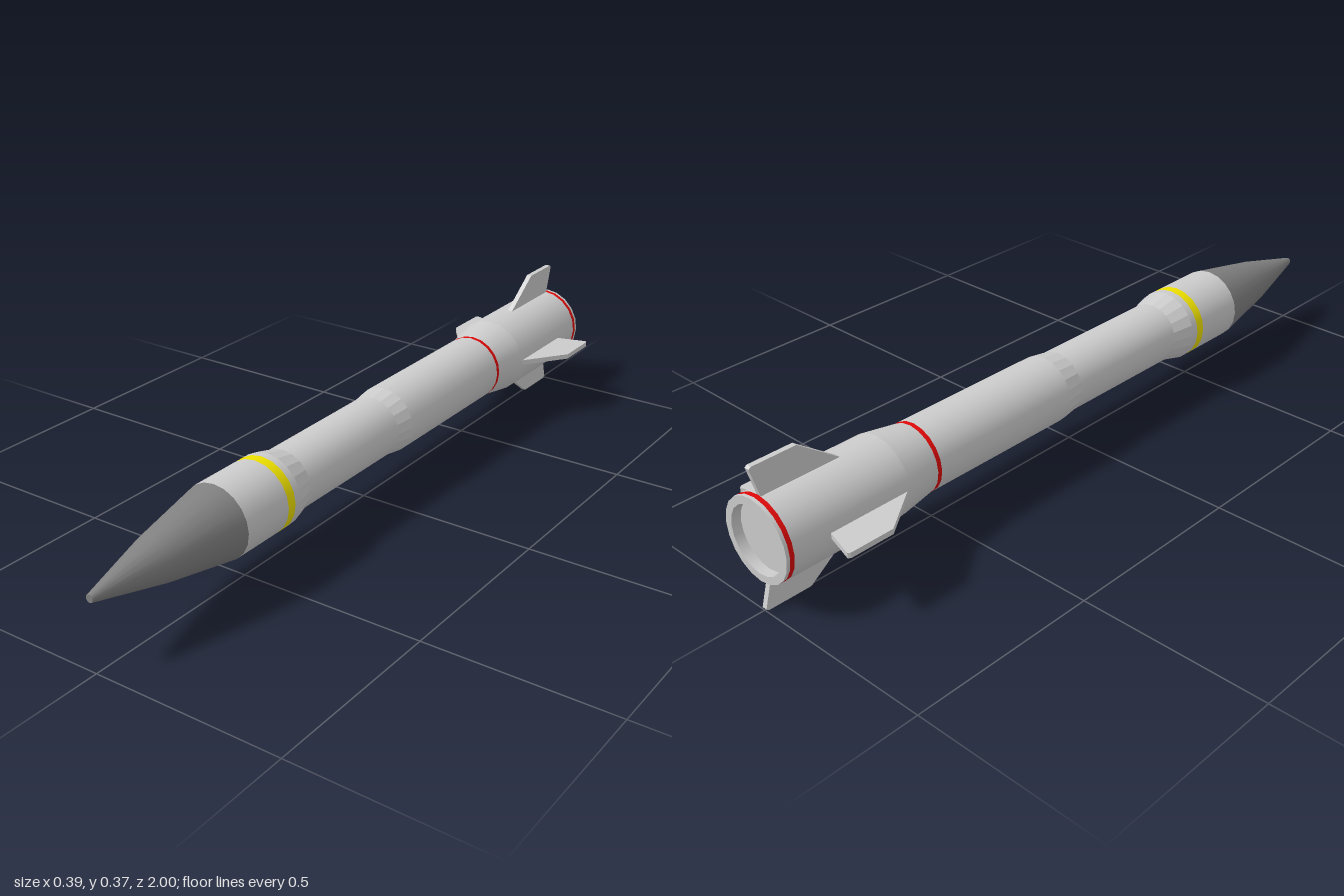
import * as THREE from 'three';

const SIDES = 20;
const AXIS_Y = 0.187;

const grey = new THREE.MeshStandardMaterial({ color: 0xcccccc });
const greyFlat = new THREE.MeshStandardMaterial({ color: 0xcccccc, flatShading: true });
const dark = new THREE.MeshStandardMaterial({ color: 0x808080 });
const yellow = new THREE.MeshStandardMaterial({ color: 0xeee000 });
const red = new THREE.MeshStandardMaterial({ color: 0xe00808 });

// Turned section along z; profile is [radius, z] from back to front
function section(name, material, ...profile) {
  const points = profile.map(([r, z]) => new THREE.Vector2(r, z));
  const geometry = new THREE.LatheGeometry(points, SIDES).rotateX(Math.PI / 2);
  const mesh = new THREE.Mesh(geometry, material);
  mesh.name = name;
  return mesh;
}

// Swept fin pointing along +x, root buried in the body
function finGeometry() {
  const outline = [[0.09, -0.637], [0.193, -0.778], [0.193, -0.897], [0.188, -0.903], [0.107, -0.88], [0.09, -0.875]];
  const shape = new THREE.Shape(outline.map(([r, z]) => new THREE.Vector2(r, z)));
  return new THREE.ExtrudeGeometry(shape, { depth: 0.014, bevelEnabled: false })
    .translate(0, 0, -0.007)
    .rotateX(Math.PI / 2);
}

export function createModel() {
  const model = new THREE.Group();
  model.name = 'missile';
  const body = new THREE.Group();
  body.name = 'body';
  body.position.y = AXIS_Y;
  model.add(body);

  body.add(
    // Recessed tail end
    section('exhaustDisc', grey, [0, -0.975], [0.087, -0.975]),
    section('exhaustWall', grey, [0.087, -0.975], [0.087, -1]),
    section('tailRim', grey, [0.087, -1], [0.107, -1]),
    // Tail and flare
    section('tailEdge', grey, [0.107, -1], [0.107, -0.991]),
    section('tailBand', red, [0.107, -0.991], [0.107, -0.979]),
    section('tailTube', grey, [0.107, -0.979], [0.107, -0.65]),
    section('tailFlare', grey, [0.107, -0.65], [0.091, -0.55]),
    section('motorBand', red, [0.091, -0.55], [0.091, -0.538]),
    // Slim middle
    section('motorTube', grey, [0.091, -0.538], [0.091, -0.095]),
    section('middleTaper', greyFlat, [0.091, -0.095], [0.083, -0.04]),
    section('middleTube', grey, [0.083, -0.04], [0.083, 0.34]),
    // Wider front
    section('frontTaper', greyFlat, [0.083, 0.34], [0.098, 0.4]),
    section('frontTubeBack', grey, [0.098, 0.4], [0.098, 0.421]),
    section('frontBand', yellow, [0.098, 0.421], [0.098, 0.447]),
    section('frontTube', grey, [0.098, 0.447], [0.098, 0.595]),
    section('noseCone', dark, [0.098, 0.595], [0.06, 0.8], [0.01, 1]),
    section('noseTip', dark, [0.01, 1], [0, 1])
  );

  // Four fins; the vertical pair sits further back
  const geometry = finGeometry();
  ['leftFin', 'topFin', 'rightFin', 'bottomFin'].forEach((name, i) => {
    const fin = new THREE.Mesh(geometry, grey);
    fin.name = name;
    fin.rotation.z = (i * Math.PI) / 2;
    if (i % 2) {
      fin.position.y = i === 1 ? -0.006 : 0.006;
      fin.position.z = -0.097;
    }
    body.add(fin);
  });

  return model;
}
